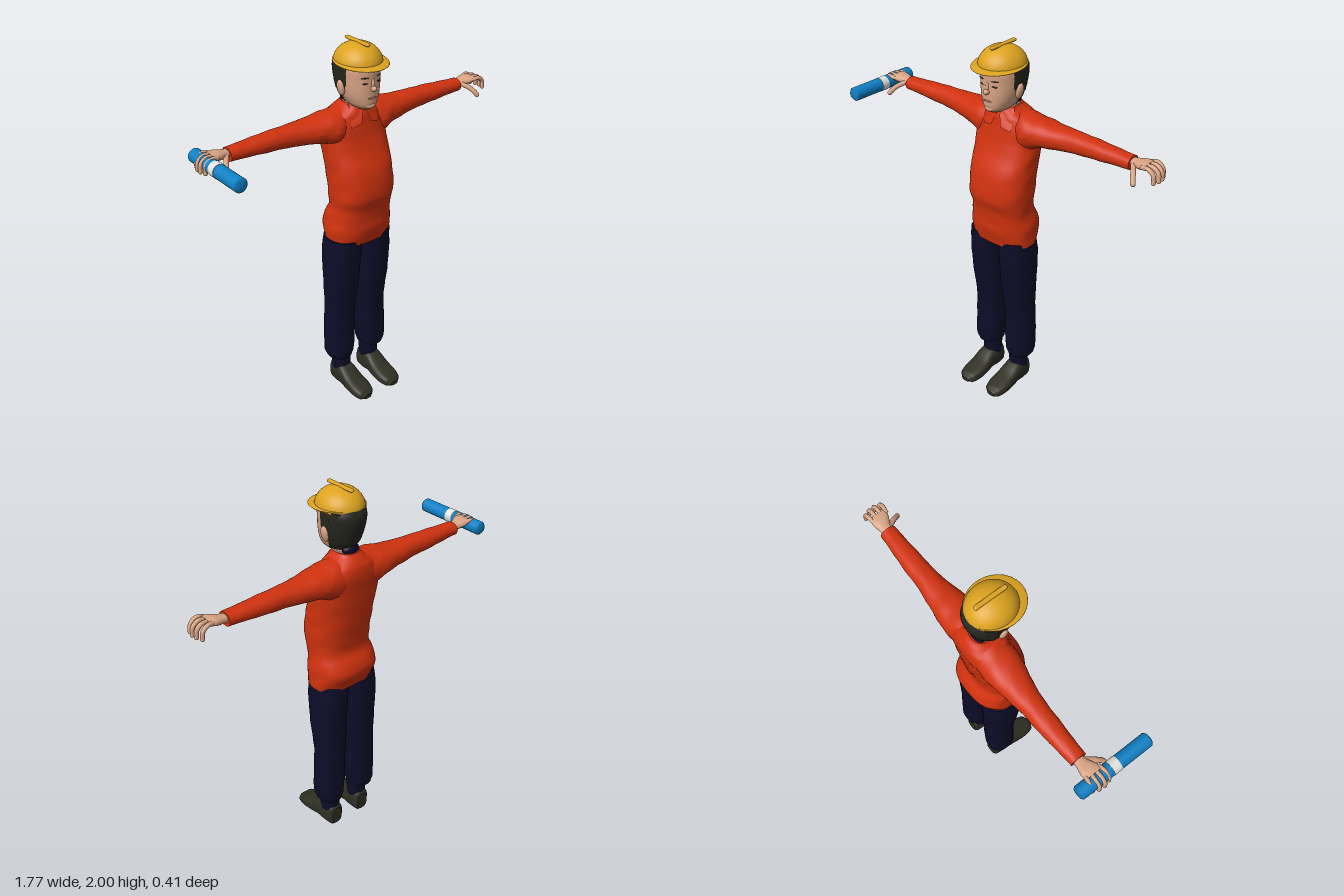
import * as THREE from 'three';

const mat = (name, color, side = THREE.FrontSide) => {
  const m = new THREE.MeshStandardMaterial({ color, side });
  m.name = name;
  return m;
};

// Closed loft up the y axis. Rows: [y, xMin, xMax, zMin, zMax]; e < 1 squares the section.
// from/to limit the sweep angle (0 = front, growing towards +x).
function loft(rows, { e = 1, n = 32, sub = 4, from = 0, to = Math.PI * 2, ripple = 0 } = {}) {
  const catmull = (a, b, c, d, t) =>
    0.5 * (2 * b + (c - a) * t + (2 * a - 5 * b + 4 * c - d) * t * t + (3 * b - a - 3 * c + d) * t * t * t);
  const rings = [];
  for (let i = 0; i < rows.length - 1; i++) {
    const [p, q, r, s] = [rows[Math.max(i - 1, 0)], rows[i], rows[i + 1], rows[Math.min(i + 2, rows.length - 1)]];
    for (let k = 0; k < sub; k++) {
      const t = k / sub;
      rings.push(q.map((v, j) => (j === 0 ? v + (r[0] - v) * t : catmull(p[j], v, r[j], s[j], t))));
    }
  }
  rings.push(rows[rows.length - 1]);
  const pos = [], idx = [];
  const pw = v => Math.sign(v) * Math.abs(v) ** e;
  const addRing = ([y, x0, x1, z0, z1]) => {
    for (let j = 0; j <= n; j++) {
      const a = from + ((to - from) * j) / n;
      const w = 1 + ripple * Math.sin(y * 55 + 2 * Math.sin(a * 2)) * Math.sin(a * 3 + y * 9);
      pos.push((x0 + x1) / 2 + ((x1 - x0) / 2) * w * pw(Math.sin(a)), y, (z0 + z1) / 2 + ((z1 - z0) / 2) * w * pw(Math.cos(a)));
    }
  };
  rings.forEach(addRing);
  const w = n + 1;
  for (let i = 0; i < rings.length - 1; i++)
    for (let j = 0; j < n; j++) {
      const a = i * w + j, b = a + 1, c = b + w, d = a + w;
      idx.push(a, b, c, a, c, d);
    }
  // end caps on their own vertices, so the rims stay sharp
  [rings[0], rings[rings.length - 1]].forEach((r, end) => {
    const s = pos.length / 3;
    addRing(r);
    pos.push((r[1] + r[2]) / 2, r[0], (r[3] + r[4]) / 2);
    for (let j = 0; j < n; j++) end ? idx.push(s + j, s + j + 1, s + w) : idx.push(s + j + 1, s + j, s + w);
  });
  const g = new THREE.BufferGeometry();
  g.setAttribute('position', new THREE.Float32BufferAttribute(pos, 3));
  g.setIndex(idx);
  g.computeVertexNormals();
  return g;
}

// Loft along +x (s = 1) or -x (s = -1). Rows: [x, yMin, yMax, zMin, zMax].
const sideLoft = (rows, s, opt) =>
  s > 0
    ? loft(rows.map(([x, a, b, c, d]) => [x, -b, -a, c, d]), opt).rotateZ(-Math.PI / 2)
    : loft(rows, opt).rotateZ(Math.PI / 2);

export function createModel() {
  const root = new THREE.Group();
  root.name = 'worker';
  const red = mat('red cloth', 0xd0320e), navy = mat('navy cloth', 0x0d0c28);
  const skin = mat('skin', 0xd9a484), hair = mat('dark hair', 0x25261d);
  const shoe = mat('shoe leather', 0x2f2f23), yellow = mat('yellow plastic', 0xdca31f);
  const blue = mat('blue torch', 0x0f80c4), white = mat('white', 0xe6e4e0);
  const lip = mat('lips', 0xb9705c), flap = mat('red collar', 0xd0320e, THREE.DoubleSide);
  const add = (name, geo, m, x = 0, y = 0, z = 0) => {
    const o = new THREE.Mesh(geo, m);
    o.name = name;
    o.position.set(x, y, z);
    root.add(o);
    return o;
  };
  const ball = (name, m, p, r) => {
    const o = add(name, new THREE.SphereGeometry(1, 28, 18), m, ...p);
    o.scale.set(...r);
    return o;
  };

  // jacket body
  add('jacket', loft([
    [0.935, -0.185, 0.178, -0.162, 0.06], [1.02, -0.187, 0.18, -0.197, 0.082],
    [1.08, -0.178, 0.173, -0.188, 0.082], [1.14, -0.168, 0.166, -0.155, 0.09],
    [1.21, -0.172, 0.172, -0.16, 0.11], [1.34, -0.175, 0.173, -0.178, 0.095],
    [1.48, -0.185, 0.178, -0.192, 0.035], [1.57, -0.185, 0.178, -0.2, 0.014],
    [1.63, -0.135, 0.13, -0.195, 0.004], [1.66, -0.085, 0.08, -0.175, -0.005],
    [1.685, -0.062, 0.056, -0.15, -0.015],
  ], { e: 0.82, n: 48, sub: 5, ripple: 0.012 }), red);

  for (const s of [1, -1]) {
    const side = s > 0 ? 'left' : 'right';
    const V = (x, y, z) => new THREE.Vector3(s * x, y, z);

    // sleeve
    add(side + 'Sleeve', sideLoft([
      [0.07, 1.47, 1.662, -0.19, -0.01], [0.14, 1.475, 1.653, -0.197, 0.005],
      [0.2, 1.5, 1.645, -0.192, -0.005], [0.28, 1.514, 1.636, -0.182, -0.026],
      [0.4, 1.527, 1.632, -0.166, -0.048], [0.52, 1.535, 1.627, -0.162, -0.054],
      [0.64, 1.544, 1.62, -0.152, -0.06], [0.72, 1.548, 1.616, -0.147, -0.063],
    ], s, { e: 0.92, ripple: 0.025 }), red);

    // hand with curled fingers
    add(side + 'Palm', sideLoft([
      [0.7, 1.565, 1.606, -0.132, -0.08], [0.74, 1.57, 1.61, -0.135, -0.075],
      [0.78, 1.577, 1.618, -0.145, -0.056], [0.815, 1.588, 1.617, -0.144, -0.046],
    ], s, { e: 0.85, n: 20 }), skin);
    const digit = (name, pts, r) => {
      add(name, new THREE.TubeGeometry(new THREE.CatmullRomCurve3(pts), 14, r, 10), skin);
      ball(name + 'Tip', skin, pts[pts.length - 1].toArray(), [r, r, r]);
    };
    [-0.133, -0.108, -0.082, -0.056].forEach((z, i) => {
      const k = [-0.012, 0, 0.002, -0.006][i], f = z + (z + 0.09) * 0.15;
      digit(side + 'Finger' + (i + 1), [V(0.795, 1.602, z), V(0.84 + k, 1.608, f), V(0.869 + k, 1.586, f), V(0.874 + k, 1.549, f)], 0.011);
    });
    digit(side + 'Thumb', [V(0.735, 1.588, -0.085), V(0.765, 1.568, -0.04), V(0.782, 1.545, -0.014), V(0.788, 1.535, -0.008)], 0.013);

    // trouser leg, ankle cuff and shoe, mirrored about x = -0.01
    const leg = (rows, opt) => loft(rows.map(([y, a, b, c, d]) =>
      s > 0 ? [y, a - 0.01, b - 0.01, c, d] : [y, -b - 0.01, -a - 0.01, c, d]), opt);
    add(side + 'TrouserLeg', leg([
      [0.19, 0.045, 0.172, -0.148, -0.005], [0.225, 0.034, 0.185, -0.153, 0.006],
      [0.35, 0.022, 0.187, -0.153, 0.004], [0.43, 0.025, 0.184, -0.153, 0.004],
      [0.52, 0.02, 0.178, -0.156, 0.011], [0.68, 0.012, 0.186, -0.156, 0.034],
      [0.85, 0.006, 0.188, -0.164, 0.05], [0.96, -0.002, 0.182, -0.155, 0.055],
    ], { e: 0.82, ripple: 0.015 }), navy);
    add(side + 'AnkleCuff', leg([[0.1, 0.046, 0.146, -0.12, -0.022], [0.21, 0.044, 0.148, -0.126, -0.018]], { e: 0.9 }), navy);
    // shoe lofted along z: [z, xInner, xOuter, yMin, yMax]
    add(side + 'Shoe', loft([
      [-0.13, 0.062, 0.128, 0.012, 0.115], [-0.118, 0.05, 0.14, 0.0, 0.132], [-0.06, 0.044, 0.147, 0.0, 0.137],
      [-0.02, 0.042, 0.15, 0.008, 0.127], [0.04, 0.036, 0.154, 0.004, 0.092],
      [0.1, 0.034, 0.155, 0.002, 0.072], [0.15, 0.046, 0.144, 0.003, 0.056], [0.17, 0.072, 0.12, 0.01, 0.035],
    ].map(([z, a, b, y0, y1]) => (s > 0 ? [z, a - 0.01, b - 0.01, -y1, -y0] : [z, -b - 0.01, -a - 0.01, -y1, -y0])),
    { e: 0.7 }).rotateX(Math.PI / 2), shoe);

    // collar flap
    const c = [[0.008, 1.652, 0.004], [0.03, 1.592, 0.024], [0.088, 1.578, 0.014], [0.066, 1.685, -0.045]];
    const cg = new THREE.BufferGeometry().setFromPoints(c.map(p => V(...p)));
    cg.setIndex(s > 0 ? [0, 1, 2, 0, 2, 3] : [0, 2, 1, 0, 3, 2]);
    cg.computeVertexNormals();
    add(side + 'CollarFlap', cg, flap);

    // ear, eye and brow
    ball(side + 'Ear', skin, [s * 0.1 - 0.006, 1.778, -0.045], [0.015, 0.042, 0.024]).rotation.z = -s * 0.2;
    ball(side + 'Eye', hair, [s * 0.04 - 0.006, 1.816, 0.07], [0.015, 0.0035, 0.004]).rotation.y = s * 0.35;
    ball(side + 'Brow', hair, [s * 0.043 - 0.006, 1.843, 0.069], [0.02, 0.003, 0.004]).rotation.y = s * 0.4;
  }

  // neck, undershirt rim and head
  add('neck', loft([[1.6, -0.058, 0.052, -0.13, -0.015], [1.74, -0.055, 0.049, -0.13, 0.005]]), skin);
  add('undershirtRim', loft([[1.66, -0.062, 0.056, -0.14, -0.008], [1.69, -0.059, 0.053, -0.135, -0.008]]), white);
  const headRows = [
    [1.667, 0.026, -0.06, 0.04], [1.68, 0.048, -0.09, 0.062], [1.7, 0.066, -0.115, 0.074],
    [1.735, 0.083, -0.137, 0.078], [1.78, 0.094, -0.152, 0.079], [1.83, 0.099, -0.165, 0.078],
    [1.88, 0.1, -0.167, 0.078], [1.93, 0.085, -0.14, 0.06],
  ];
  add('head', loft(headRows.map(([y, w, b, f]) => [y, -w - 0.006, w - 0.006, b, f]), { e: 0.92, n: 40 }), skin);
  ball('nose', skin, [-0.006, 1.787, 0.083], [0.015, 0.014, 0.018]);
  ball('noseBridge', skin, [-0.006, 1.807, 0.076], [0.01, 0.03, 0.011]);
  ball('chin', skin, [-0.006, 1.698, 0.058], [0.03, 0.019, 0.02]);
  ball('mouth', lip, [-0.006, 1.738, 0.076], [0.026, 0.005, 0.006]);

  // hair wraps the back of the head, with sideburns before the ears
  add('hair', loft(headRows.slice(2).map(([y, w, b, f]) => [y, -w - 0.013, w + 0.001, b - 0.01, f]),
    { e: 0.92, from: Math.PI * 0.56, to: Math.PI * 1.44 }), hair);
  add('sideHair', loft([
    [1.765, -0.102, 0.09, -0.12, -0.005], [1.8, -0.107, 0.095, -0.13, 0.012], [1.9, -0.11, 0.098, -0.14, 0.02],
  ], { e: 0.5 }), hair);
  ball('nape', navy, [-0.006, 1.695, -0.115], [0.048, 0.03, 0.03]);

  // hard hat: dome, sloping brim and crest
  const dome = add('helmetDome', new THREE.SphereGeometry(1, 40, 16, 0, Math.PI * 2, 0, Math.PI / 2), yellow, -0.007, 1.893, -0.036);
  dome.scale.set(0.117, 0.099, 0.129);
  ball('helmetBrim', yellow, [-0.007, 1.9, -0.014], [0.132, 0.013, 0.149]).rotation.x = 0.06;
  const crest = add('helmetCrest', new THREE.CapsuleGeometry(0.012, 0.157, 6, 14), yellow, -0.007, 1.991, -0.04);
  crest.rotation.x = Math.PI / 2;
  crest.scale.z = 0.75;

  // torch held in the right hand
  const torch = [[0, -0.205], [0.028, -0.205], [0.036, -0.196], [0.036, 0.196], [0.028, 0.205], [0, 0.205]];
  add('torch', new THREE.LatheGeometry(torch.map(p => new THREE.Vector2(...p)), 28).rotateX(Math.PI / 2), blue, -0.836, 1.578, 0);
  add('torchBand', new THREE.CylinderGeometry(0.0375, 0.0375, 0.044, 28).rotateX(Math.PI / 2), white, -0.836, 1.578, 0.002);
  return root;
}
